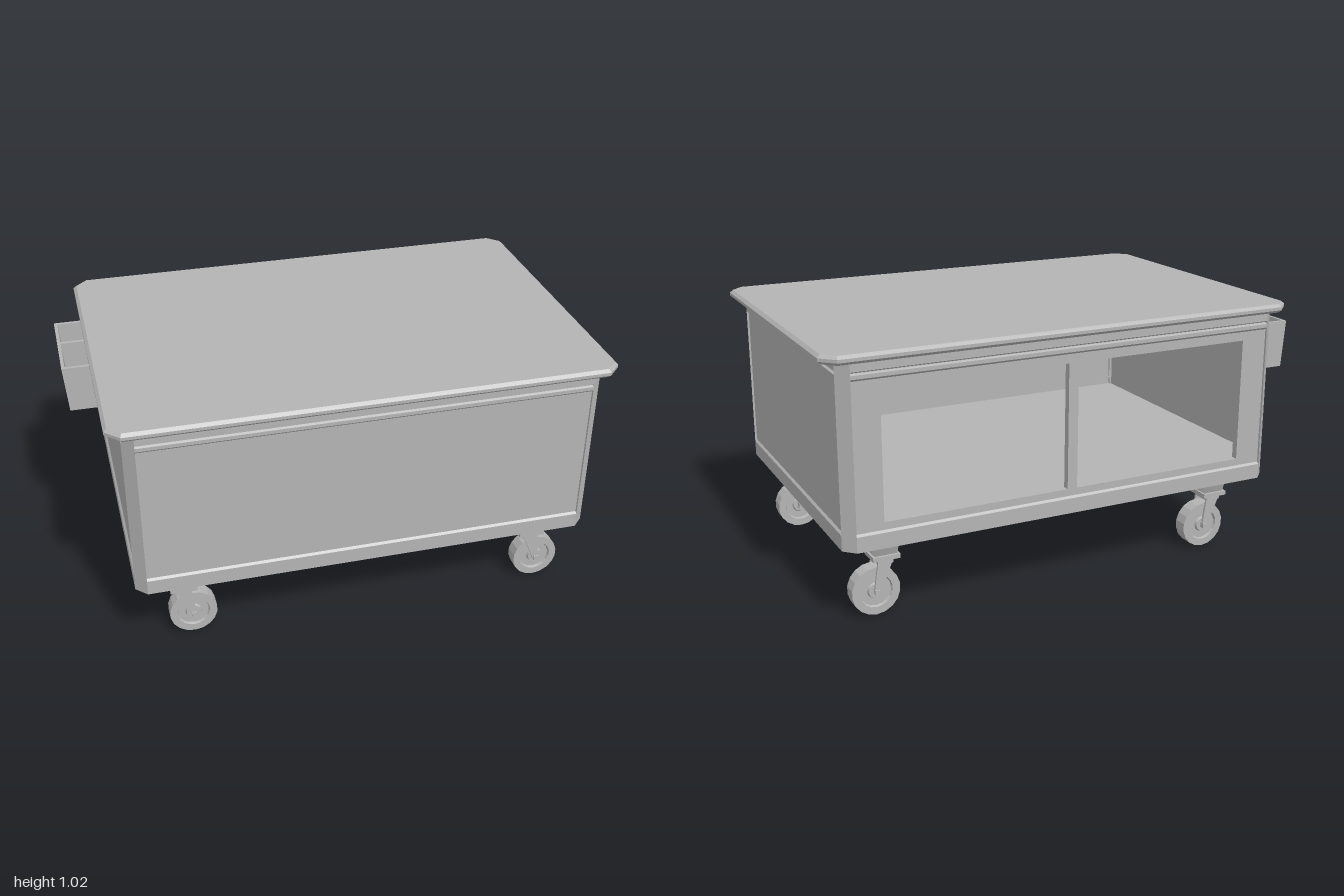
import * as THREE from 'three';

const gray = new THREE.MeshStandardMaterial({ color: 0xb4b4b4 });
gray.name = 'plain gray';

const CX = 0.0475;              // cabinet centre in x
const HX = 0.8925, HZ = 0.61;   // cabinet half sizes
const CH = 0.042;               // corner chamfer
const Y0 = 0.305, Y1 = 0.99;    // cabinet bottom and top

function add(parent, geometry, name) {
  const mesh = new THREE.Mesh(geometry, gray);
  mesh.name = name;
  parent.add(mesh);
  return mesh;
}

// Box given by its limits on each axis
function block(parent, name, [x0, x1], [y0, y1], [z0, z1]) {
  const mesh = add(parent, new THREE.BoxGeometry(x1 - x0, y1 - y0, z1 - z0), name);
  mesh.position.set((x0 + x1) / 2, (y0 + y1) / 2, (z0 + z1) / 2);
  return mesh;
}

const polygon = (pts) => new THREE.Shape(pts.map(([x, y]) => new THREE.Vector2(x, y)));

// Outline in x/y, extruded from z0 to z1
function slab(shape, z0, z1) {
  return new THREE.ExtrudeGeometry(shape, { depth: z1 - z0, bevelEnabled: false }).translate(0, 0, z0);
}

// Rectangle with cut corners
function octagon(hx, hz, c) {
  return polygon([[hx - c, -hz], [hx, -hz + c], [hx, hz - c], [hx - c, hz],
    [-hx + c, hz], [-hx, hz - c], [-hx, -hz + c], [-hx + c, -hz]]);
}

// Extrude an outline in plan (x, z) from y0 to y1
function plan(shape, y0, y1) {
  return slab(shape, y0, y1).rotateX(-Math.PI / 2);
}

// Rails and sunken panel on one face; the face looks along +z
function panelFace(halfWidth, depth, open) {
  const g = new THREE.Group();
  const w = [-halfWidth, halfWidth];
  const back = depth - 0.035, sunk = depth - 0.008;
  if (open) {
    const frame = polygon([[-halfWidth, Y0], [halfWidth, Y0], [halfWidth, Y1], [-halfWidth, Y1]]);
    for (const [a, b] of [[-0.745, -0.02], [0.02, 0.745]]) {
      frame.holes.push(new THREE.Path([[a, 0.4], [a, 0.885], [b, 0.885], [b, 0.4]]
        .map(([x, y]) => new THREE.Vector2(x, y))));
    }
    add(g, slab(frame, back, sunk), 'openFrame');
  } else {
    block(g, 'sunkenPanel', w, [Y0, Y1], [back, sunk]);
  }
  // rails with sloped edges, drawn in section
  const rails = [
    ['bottomRail', [[back, Y0], [depth, Y0], [depth, 0.364], [sunk, 0.372], [back, 0.372]]],
    ['bead', [[back, 0.92], [sunk, 0.92], [depth, 0.928], [depth, 0.942], [sunk, 0.947], [back, 0.947]]],
    ['topRail', [[back, 0.949], [sunk, 0.949], [depth, 0.954], [depth, Y1], [back, Y1]]],
  ];
  for (const [name, pts] of rails) {
    const front = pts.map(([z, y]) => [Math.max(z, sunk - 0.001), y]);
    add(g, slab(polygon(front), -halfWidth, halfWidth).rotateY(-Math.PI / 2), name);
  }
  return g;
}

function cabinet() {
  const g = new THREE.Group();
  g.name = 'cabinet';
  const faces = [
    ['frontFace', HX - CH, HZ, 0, false], ['backFace', HX - CH, HZ, Math.PI, true],
    ['leftFace', HZ - CH, HX, Math.PI / 2, false], ['rightFace', HZ - CH, HX, -Math.PI / 2, false],
  ];
  for (const [name, half, depth, turn, open] of faces) {
    const face = panelFace(half, depth, open);
    face.name = name;
    face.rotation.y = turn;
    g.add(face);
  }
  // chamfered corner posts
  for (const sx of [-1, 1]) for (const sz of [-1, 1]) {
    const pts = [[HX - CH, HZ], [HX, HZ - CH], [HX - 0.05, HZ - CH - 0.005], [HX - CH - 0.005, HZ - 0.05]];
    add(g, plan(polygon(pts.map(([x, z]) => [sx * x, sz * z])), Y0, Y1), 'cornerPost');
  }
  // shelf floor and ceiling
  add(g, plan(octagon(HX - 0.009, HZ - 0.009, CH), Y0, 0.398), 'floor');
  add(g, plan(octagon(HX - 0.009, HZ - 0.009, CH), 0.96, Y1), 'ceiling');
  g.position.x = CX;
  return g;
}

function tabletop() {
  const geo = new THREE.ExtrudeGeometry(octagon(0.938, 0.623, 0.045), {
    depth: 0.012, bevelEnabled: true, bevelThickness: 0.011, bevelSize: 0.012, bevelSegments: 1,
  }).rotateX(-Math.PI / 2);
  const mesh = new THREE.Mesh(geo, gray);
  mesh.name = 'tabletop';
  mesh.position.set(0.05, 0.997, 0);
  return mesh;
}

function caster(x, z) {
  const g = new THREE.Group();
  g.name = 'caster';
  // tapered square socket and swivel plate
  const socket = add(g, new THREE.CylinderGeometry(0.054 * Math.SQRT2, 0.044 * Math.SQRT2, 0.075, 4)
    .rotateY(Math.PI / 4), 'socket');
  socket.position.y = 0.27;
  block(g, 'swivelPlate', [-0.052, 0.052], [0.218, 0.235], [-0.055, 0.055]);
  block(g, 'forkTop', [-0.03, 0.03], [0.2, 0.219], [-0.042, 0.042]);
  // slanted fork legs
  const leg = polygon([[-0.03, 0.215], [0.028, 0.215], [0.047, 0.085], [0.024, 0.085]]);
  add(g, slab(leg, 0.032, 0.041), 'forkLeg');
  add(g, slab(leg, -0.041, -0.032), 'forkLeg');
  block(g, 'axle', [0.025, 0.045], [0.083, 0.103], [-0.047, 0.047]);
  // wheel with a dished hub on both sides
  const profile = [[0, -0.028], [0.028, -0.028], [0.032, -0.018], [0.06, -0.018], [0.064, -0.028], [0.093, -0.028],
    [0.093, 0.028], [0.064, 0.028], [0.06, 0.018], [0.032, 0.018], [0.028, 0.028], [0, 0.028]]
    .map(([r, y]) => new THREE.Vector2(r, y));
  const wheelGeo = new THREE.LatheGeometry(profile, 18).rotateX(Math.PI / 2).toNonIndexed();
  wheelGeo.computeVertexNormals();
  const wheel = add(g, wheelGeo, 'wheel');
  wheel.position.set(0.035, 0.093, 0);
  g.position.set(x, 0, z);
  return g;
}

function sideBin() {
  const g = new THREE.Group();
  g.name = 'sideBin';
  const inner = -0.84, low = 0.72, high = 0.908;
  const end = polygon([[-0.985, low], [inner, low], [inner, high], [-1, high]]);
  add(g, slab(end, -0.48, -0.466), 'binEnd');
  add(g, slab(end, -0.094, -0.08), 'binEnd');
  add(g, slab(end, -0.308, -0.292), 'binDivider');
  const outer = polygon([[-0.985, low], [-0.972, low], [-0.987, high], [-1, high]]);
  add(g, slab(outer, -0.48, -0.08), 'binOuterWall');
  block(g, 'binFloor', [-0.984, inner], [low, low + 0.013], [-0.479, -0.081]);
  block(g, 'binBackWall', [-0.857, inner], [low, high], [-0.479, -0.081]);
  return g;
}

export function createModel() {
  const model = new THREE.Group();
  model.name = 'rollingCabinet';
  model.add(cabinet(), tabletop(), sideBin());
  for (const x of [-0.66, 0.76]) for (const z of [-0.47, 0.47]) model.add(caster(x, z));
  return model;
}
